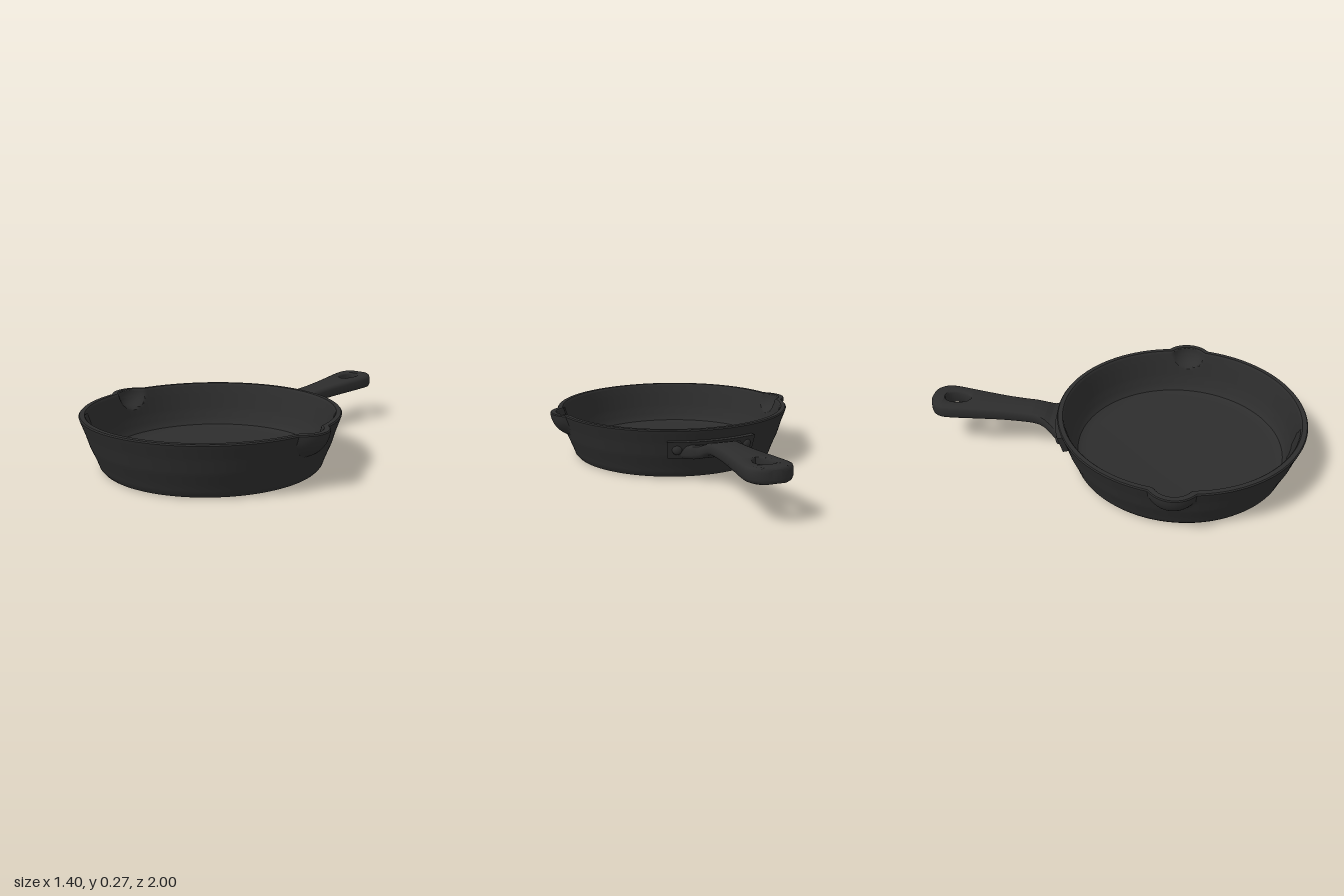
import * as THREE from 'three';
import { toCreasedNormals } from 'three/addons/utils/BufferGeometryUtils.js';

const PAN_Z = 0.35;

// Piecewise linear lookup in rows of [z, value, value...], z descending
function lookup(rows, z, k) {
  for (let i = 1; i < rows.length; i++) {
    const a = rows[i - 1], b = rows[i];
    if (z >= b[0]) return a[k] + (b[k] - a[k]) * Math.max(0, (z - a[0]) / (b[0] - a[0]));
  }
  return rows[rows.length - 1][k];
}

// Bowl: one closed lathe profile, [radius, height, spout radius, steps to reach it]
function bowlGeometry() {
  const keys = [
    [0, 0.002, 0, 1], [0.53, 0.002, 0, 1], [0.55, 0.006, 0, 1], [0.562, 0.02, 0, 1],
    [0.576, 0.06, 0, 2], [0.605, 0.13, 0.135, 4], [0.626, 0.2, 0.135, 7],
    [0.648, 0.262, 0.135, 6], [0.65, 0.27, 0.135, 1], [0.645, 0.276, 0.131, 1],
    [0.622, 0.276, 0.105, 1], [0.616, 0.27, 0.1, 1], [0.605, 0.23, 0.1, 5],
    [0.582, 0.13, 0.1, 9], [0.562, 0.072, 0, 3], [0.548, 0.05, 0, 2],
    [0.525, 0.041, 0, 2], [0.49, 0.038, 0, 1], [0, 0.038, 0, 1],
  ];
  const pts = [], spoutR = [];
  keys.forEach((k, i) => {
    const p = keys[Math.max(0, i - 1)];
    for (let s = 1; s <= k[3]; s++) {
      const t = s / k[3];
      pts.push(new THREE.Vector2(p[0] + (k[0] - p[0]) * t, p[1] + (k[1] - p[1]) * t));
      spoutR.push(k[2]);
    }
  });
  const segments = 320;
  const geo = new THREE.LatheGeometry(pts, segments);
  const pos = geo.attributes.position;
  const c = 0.565;
  // Push the wall out to a sphere at each side to form the pouring spouts
  for (let i = 0; i < pos.count; i++) {
    const j = i % pts.length, R = spoutR[j];
    if (!R) continue;
    const phi = (Math.floor(i / pts.length) / segments) * Math.PI * 2;
    const along = Math.abs(Math.sin(phi)), across = Math.cos(phi);
    const dy = pts[j].y - 0.276;
    const d = R * R - dy * dy - c * c * across * across;
    if (d <= 0) continue;
    const r = Math.max(pts[j].x, c * along + Math.sqrt(d));
    pos.setX(i, r * Math.sin(phi));
    pos.setZ(i, r * Math.cos(phi));
  }
  geo.deleteAttribute('uv');
  return toCreasedNormals(geo, 0.6);
}

// Half of the handle, lofted along z from the hole edge to the outer edge
function handleHalf(side) {
  const outline = new THREE.SplineCurve([
    [-0.27, 0.17], [-0.31, 0.132], [-0.345, 0.1], [-0.39, 0.082], [-0.47, 0.076],
    [-0.6, 0.08], [-0.75, 0.096], [-0.87, 0.11], [-0.93, 0.109], [-0.97, 0.086],
    [-0.993, 0.048], [-1, 0],
  ].map(p => new THREE.Vector2(...p))).getPoints(220);
  const heights = [ // z, underside, top
    [-0.27, 0.125, 0.2], [-0.31, 0.13, 0.2], [-0.34, 0.14, 0.206], [-0.37, 0.157, 0.222],
    [-0.4, 0.169, 0.232], [-0.44, 0.175, 0.24], [-1, 0.194, 0.27],
  ];
  const verts = [], index = [], N = 12;
  outline.forEach(({ x: z, y: width }) => {
    const w = Math.max(0, width);
    // egg-shaped hole, wider towards the tip
    const u = (z + 0.86) / 0.072;
    const hole = Math.abs(u) < 1 ? (0.045 - 0.007 * u) * Math.sqrt(1 - u * u) : 0;
    const e = Math.min(1, Math.max(0, (-0.98 - z) / 0.02));
    const inset = 0.02 * (1 - Math.sqrt(1 - e * e));
    const lo = lookup(heights, z, 1) + inset, hi = lookup(heights, z, 2) - inset;
    const b = Math.min(0.02, (w - hole) * 0.4), h = Math.min(0.01, hole * 0.4);
    const ring = [
      [hole, lo + h], [hole + h * 0.3, lo + h * 0.3], [hole + h, lo],
      [w - b, lo], [w - b * 0.3, lo + b * 0.3], [w, lo + b],
      [w, hi - b], [w - b * 0.3, hi - b * 0.3], [w - b, hi],
      [hole + h, hi], [hole + h * 0.3, hi - h * 0.3], [hole, hi - h],
    ];
    ring.forEach(([x, y]) => verts.push(side * x, y, z));
  });
  for (let i = 0; i < outline.length - 1; i++) {
    for (let j = 0; j < N; j++) {
      const a = i * N + j, b = i * N + (j + 1) % N, c = a + N, d = b + N;
      if (side > 0) index.push(a, c, b, b, c, d);
      else index.push(a, b, c, b, d, c);
    }
  }
  const geo = new THREE.BufferGeometry();
  geo.setAttribute('position', new THREE.Float32BufferAttribute(verts, 3));
  geo.setIndex(index);
  return toCreasedNormals(geo, 0.8);
}

// Mounting plate: a box wrapped around the sloping wall
function plateGeometry() {
  const geo = new THREE.BoxGeometry(0.74, 0.09, 0.05, 24, 1, 1);
  const pos = geo.attributes.position;
  for (let i = 0; i < pos.count; i++) {
    const a = pos.getX(i), y = pos.getY(i);
    const r = 0.624 + pos.getZ(i) + y * 0.3;
    pos.setXYZ(i, r * Math.sin(a), y + 0.172, r * Math.cos(a));
  }
  geo.deleteAttribute('uv');
  return toCreasedNormals(geo, 0.6);
}

export function createModel() {
  const model = new THREE.Group();
  model.name = 'skillet';
  const iron = new THREE.MeshStandardMaterial({ color: 0x2d2d2d });
  iron.name = 'castIron';

  const add = (name, geo, parent = model) => {
    const mesh = new THREE.Mesh(geo, iron);
    mesh.name = name;
    parent.add(mesh);
    return mesh;
  };

  add('bowl', bowlGeometry()).position.z = PAN_Z;

  const handle = new THREE.Group();
  handle.name = 'handle';
  model.add(handle);
  add('handleLeftHalf', handleHalf(1), handle);
  add('handleRightHalf', handleHalf(-1), handle);

  const plate = add('mountingPlate', plateGeometry());
  plate.position.z = PAN_Z;
  plate.rotation.y = Math.PI;

  // Domed rivets at both ends of the plate
  for (const side of [1, -1]) {
    const a = side * 0.295, r = 0.65;
    const rivet = add(side > 0 ? 'leftRivet' : 'rightRivet', new THREE.SphereGeometry(0.025, 20, 12));
    rivet.scale.z = 0.6;
    rivet.position.set(r * Math.sin(a), 0.175, PAN_Z - r * Math.cos(a));
    rivet.rotation.y = Math.PI - a;
  }
  return model;
}
